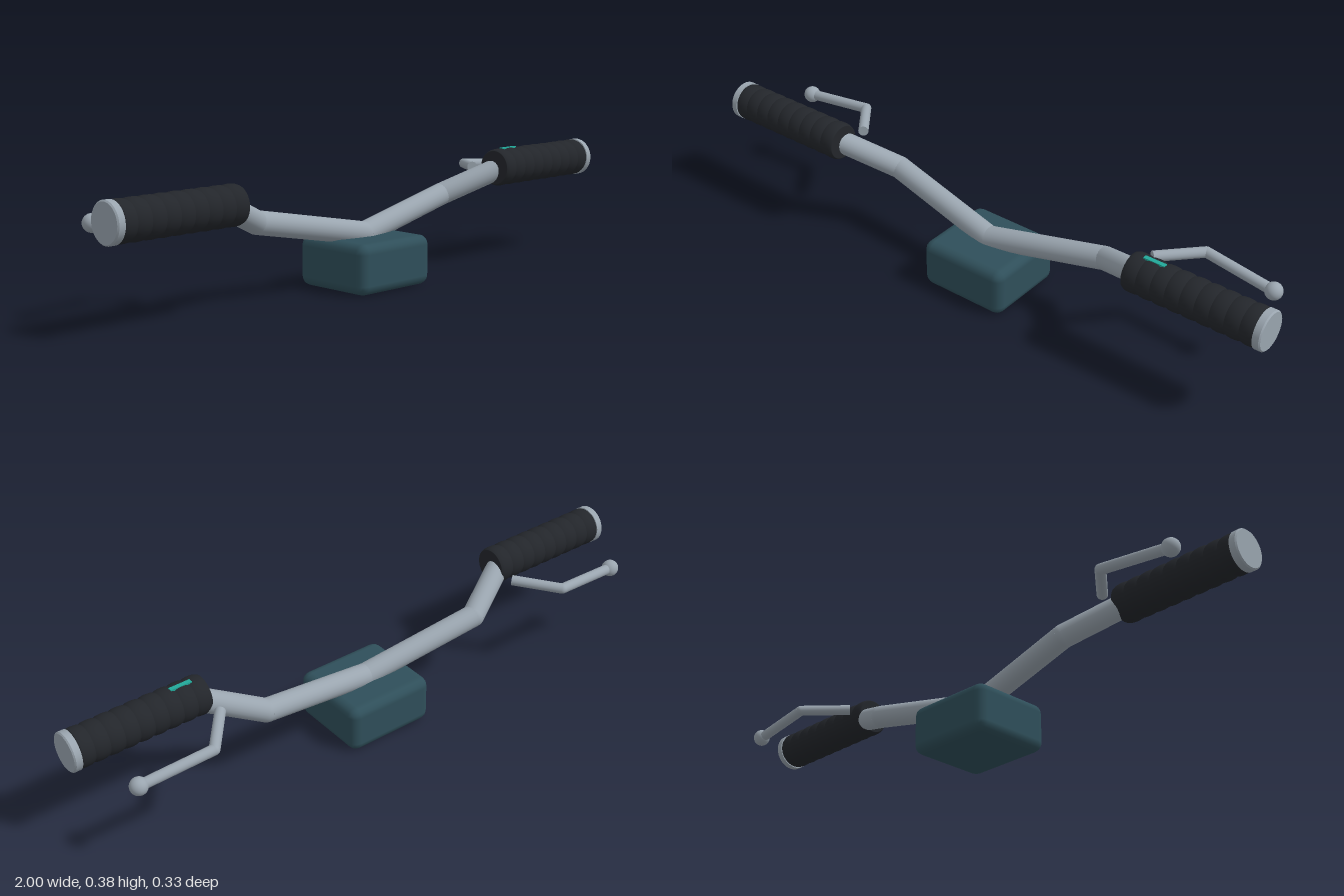
import * as THREE from 'three';
import { RoundedBoxGeometry } from 'three/addons/geometries/RoundedBoxGeometry.js';

const V = (x, y, z) => new THREE.Vector3(x, y, z);
const mat = (color) => new THREE.MeshStandardMaterial({ color });
const metal = mat(0x9aa5af);
const rubber = mat(0x23262b);
const paint = mat(0x2f4f5a);
const teal = mat(0x22a899);

function add(parent, name, geometry, material, position = V(0, 0, 0)) {
  const mesh = new THREE.Mesh(geometry, material);
  mesh.name = name;
  mesh.position.copy(position);
  parent.add(mesh);
  return mesh;
}

// Straight rod between two points
function rod(parent, name, a, b, radius) {
  const dir = b.clone().sub(a);
  const mesh = add(parent, name, new THREE.CylinderGeometry(radius, radius, dir.length(), 24), metal,
    a.clone().add(b).multiplyScalar(0.5));
  mesh.quaternion.setFromUnitVectors(V(0, 1, 0), dir.normalize());
}

// Rods through a list of points, with rounded elbows
function bentRod(parent, name, points, radius) {
  for (let i = 1; i < points.length; i++) {
    rod(parent, name, points[i - 1], points[i], radius);
    if (i < points.length - 1) {
      add(parent, name + 'Elbow', new THREE.SphereGeometry(radius, 24, 16), metal, points[i]);
    }
  }
}

// Lathe turned to run outward along x
function turned(parent, name, profile, material, s, center) {
  const geometry = new THREE.LatheGeometry(profile.map(([r, h]) => new THREE.Vector2(r, h)), 32);
  const mesh = add(parent, name, geometry, material, center);
  mesh.rotation.z = -s * Math.PI / 2;
}

// Ribbed grip profile, from the inner end outward
function gripProfile(start, end, ribs) {
  const step = (end - start) / ribs;
  const profile = [[0, start], [0.054, start]];
  for (let i = 0; i < ribs; i++) {
    const h = start + i * step;
    profile.push([0.056, h], [0.0595, h + step * 0.2], [0.0605, h + step * 0.5],
      [0.0595, h + step * 0.8], [0.056, h + step]);
  }
  profile.push([0, end]);
  return profile;
}

export function createModel() {
  const model = new THREE.Group();
  model.name = 'handlebar';

  // Stem clamp block
  add(model, 'stemBlock', new RoundedBoxGeometry(0.3, 0.155, 0.277, 2, 0.03), paint, V(0, 0.0775, 0.0285));

  // Centre elbow shared by both halves of the bar
  add(model, 'centreElbow', new THREE.SphereGeometry(0.036, 24, 16), metal, V(0, 0.16, 0.025));

  for (const s of [1, -1]) {
    const side = new THREE.Group();
    side.name = s > 0 ? 'leftSide' : 'rightSide';
    model.add(side);

    // Bar
    bentRod(side, 'bar', [V(0, 0.16, 0.025), V(s * 0.4, 0.235, -0.018), V(s * 0.595, 0.315, 0.076)], 0.036);

    // Grip and end cap
    const axis = V(0, 0.315, 0.076);
    turned(side, 'grip', gripProfile(0.553, 0.98, 9), rubber, s, axis);
    turned(side, 'endCap', [[0, 0.976], [0.061, 0.976], [0.061, 0.976], [0.061, 0.996],
      [0.061, 0.996], [0.057, 1], [0.057, 1], [0, 1]], metal, s, axis);

    // Brake lever
    const tip = V(s * 0.893, 0.279, -0.131);
    bentRod(side, 'lever', [V(s * 0.557, 0.309, -0.022), V(s * 0.66, 0.3, -0.148), tip], 0.0165);
    add(side, 'leverBall', new THREE.SphereGeometry(0.027, 24, 16), metal, tip);
  }

  // Small indicator strip on the left grip
  add(model, 'indicator', new THREE.BoxGeometry(0.07, 0.01, 0.014), teal, V(0.625, 0.372, 0.073));

  return model;
}
